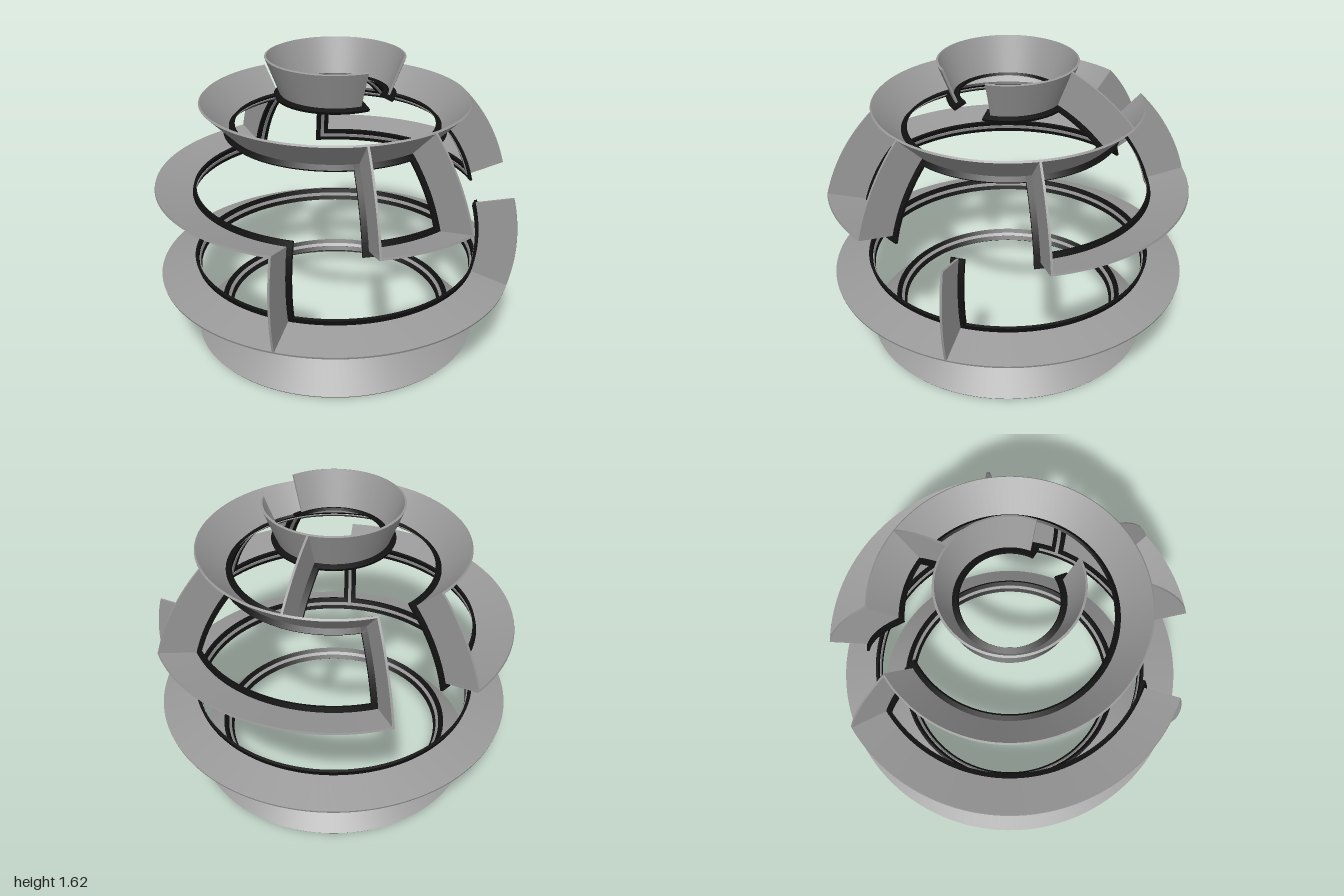
import * as THREE from 'three';
import { toCreasedNormals } from 'three/addons/utils/BufferGeometryUtils.js';

const CENTER_Y = 0.656;                 // centre of the spherical maze
const rad = THREE.MathUtils.degToRad;

const wallMaterial = new THREE.MeshStandardMaterial({ color: 0x999999 });
const flangeMaterial = new THREE.MeshStandardMaterial({ color: 0x111111 });

// Cross-section of every track: radii from the centre and half thickness
const LAYERS = [
  { part: 'Wall', r0: 0.82, r1: 1.033, h: 0.006, material: wallMaterial },
  { part: 'Flange', r0: 0.81, r1: 0.825, h: 0.037, material: flangeMaterial },
  { part: 'Spine', r0: 0.806, r1: 0.812, h: 0.01, material: wallMaterial },
];

// Outward direction at a latitude and azimuth (0 = +x, 90 = +z)
const outward = (lat, az) => new THREE.Vector3(
  Math.cos(lat) * Math.cos(az), Math.sin(lat), Math.cos(lat) * Math.sin(az));

// Rectangle spanned by the outward direction and a sideways one
function rectangle({ r0, r1, h }, out, side) {
  return [[r0, -h], [r1, -h], [r1, h], [r0, h]].map(([r, s]) =>
    out.clone().multiplyScalar(r).addScaledVector(side, s));
}

// Sweeps a four-cornered section, with end caps unless closed
function sweep(sectionAt, steps, closed) {
  const sections = Array.from({ length: steps + 1 }, (_, i) => sectionAt(i / steps));
  const positions = [];
  const quad = (a, b, c, d) =>
    [a, b, c, a, c, d].forEach(p => positions.push(p.x, p.y, p.z));
  for (let i = 0; i < steps; i++) {
    const s = sections[i], t = sections[i + 1];
    for (let k = 0; k < 4; k++) {
      const n = (k + 1) % 4;
      quad(s[k], s[n], t[n], t[k]);
    }
  }
  if (!closed) {
    const [a, b, c, d] = sections[0];
    quad(d, c, b, a);
    quad(...sections[steps]);
  }
  const geometry = new THREE.BufferGeometry();
  geometry.setAttribute('position', new THREE.Float32BufferAttribute(positions, 3));
  return toCreasedNormals(geometry, rad(30));
}

// Part of a conical ring at one latitude, between two azimuths
function ringGeometry(profile, latDeg, fromDeg, toDeg) {
  const lat = rad(latDeg), closed = toDeg - fromDeg >= 360;
  const extra = closed ? 0 : profile.h / (profile.r0 * Math.cos(lat));
  const from = rad(fromDeg) - extra, to = rad(toDeg) + extra;
  const steps = Math.max(8, Math.ceil((toDeg - fromDeg) / 3));
  return sweep(u => {
    const az = from + (to - from) * u;
    return rectangle(profile, outward(lat, az), outward(lat + Math.PI / 2, az));
  }, steps, closed);
}

// Upright rib at one azimuth, between two latitudes
function ribGeometry(profile, azDeg, fromDeg, toDeg) {
  const az = rad(azDeg);
  const side = new THREE.Vector3(Math.sin(az), 0, -Math.cos(az));
  return sweep(u => rectangle(profile,
    outward(rad(fromDeg + (toDeg - fromDeg) * u), az), side), 16, false);
}

// Thin radial wall with a dark flange along its inner edge and a grey spine on that
function track(name, makeGeometry, args) {
  const group = new THREE.Group();
  group.name = name;
  for (const layer of LAYERS) {
    const mesh = new THREE.Mesh(makeGeometry(layer, ...args), layer.material);
    mesh.name = name + layer.part;
    group.add(mesh);
  }
  group.position.y = CENTER_Y;
  return group;
}

export function createModel() {
  const model = new THREE.Group();
  model.name = 'sphericalMaze';

  // Rings: latitude, start azimuth, end azimuth
  const rings = {
    baseRing: [-39, 0, 360],
    lowerRing: [-15, 0, 360],
    middleRingRight: [15, -57, 27],
    middleRingFront: [15, 87, 117],
    middleRingBack: [15, 147, 273],
    upperRing: [45, -57, 273],
    topRing: [69, 104, 415],
  };
  for (const [name, args] of Object.entries(rings)) {
    model.add(track(name, ringGeometry, args));
  }

  // Ribs: azimuths in each band between two ring latitudes
  const bands = [
    { name: 'lowerRib', from: -15, to: 15, azimuths: [57, 147] },
    { name: 'middleRib', from: 15, to: 45, azimuths: [-87, -57, 27, 87, 117] },
    { name: 'upperRib', from: 45, to: 69, azimuths: [-21] },
  ];
  for (const { name, from, to, azimuths } of bands) {
    azimuths.forEach((az, i) =>
      model.add(track(name + (i + 1), ribGeometry, [az, from, to])));
  }
  return model;
}
